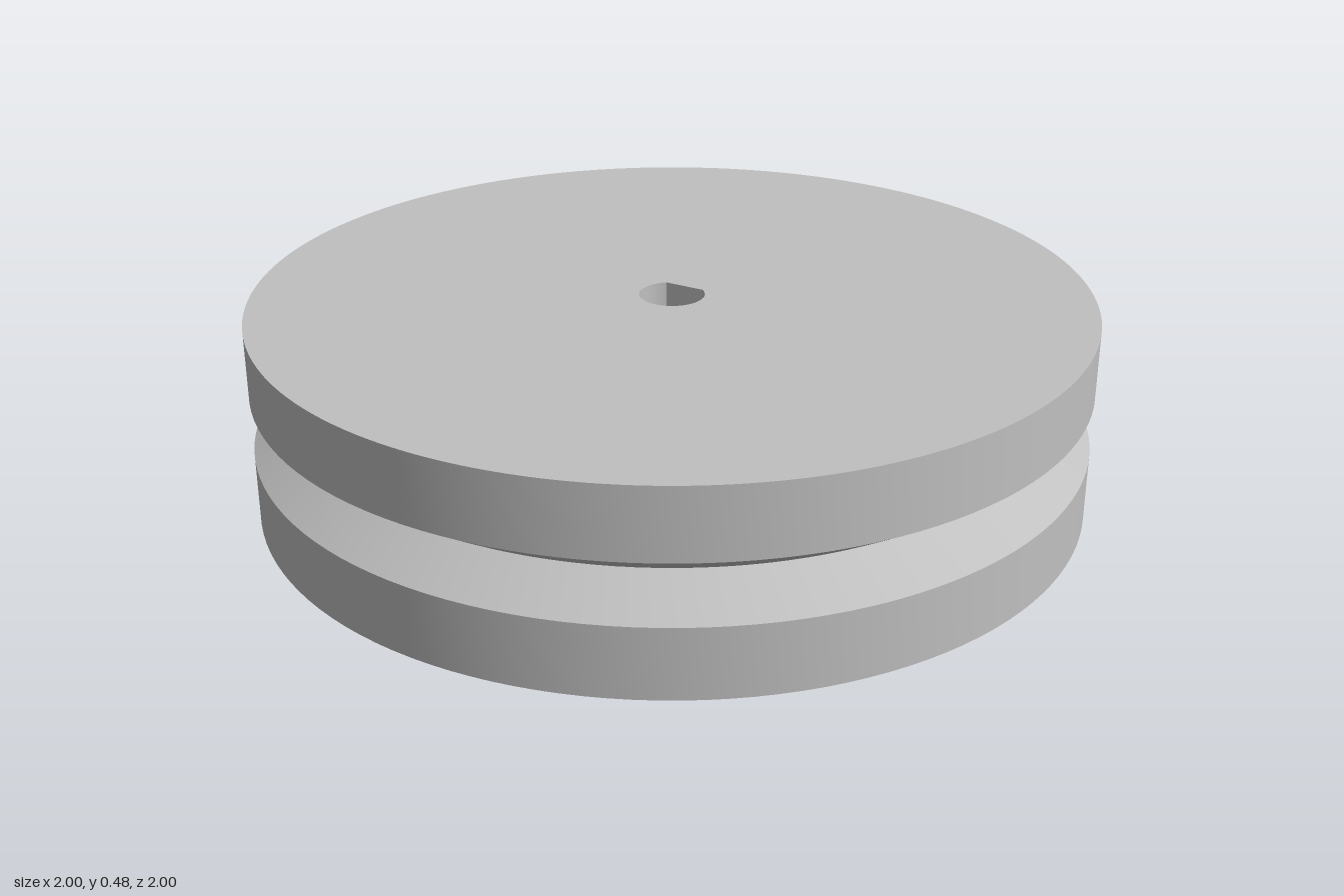
import * as THREE from 'three';
import { toCreasedNormals } from 'three/addons/utils/BufferGeometryUtils.js';

const RADIUS = 1, HEIGHT = 0.48, SEGMENTS = 128;
const BORE = 0.078, FLAT = 0.06; // bore radius and distance of its flat from the axis

// D-shaped bore outline; side = 1 puts the flat at +y, -1 at -y
function boreOutline(side) {
  const a = Math.asin(FLAT / BORE);
  const points = [];
  for (let i = 0; i <= 36; i++) {
    const t = Math.PI - a + (i / 36) * (Math.PI + 2 * a);
    points.push(new THREE.Vector2(BORE * Math.cos(t), side * BORE * Math.sin(t)));
  }
  return points;
}

// Flat disc pierced by the bore
function faceGeometry(side) {
  const disc = new THREE.Shape();
  disc.absarc(0, 0, RADIUS, 0, Math.PI * 2, false);
  disc.holes.push(new THREE.Path(boreOutline(side)));
  return new THREE.ShapeGeometry(disc, SEGMENTS).rotateX(-side * Math.PI / 2);
}

// Wall of the bore, facing the axis
function boreGeometry() {
  const outline = boreOutline(1), v = [];
  outline.forEach((p, i) => {
    const q = outline[(i + 1) % outline.length];
    const a = [p.x, 0, -p.y], b = [q.x, 0, -q.y];
    const c = [q.x, HEIGHT, -q.y], d = [p.x, HEIGHT, -p.y];
    v.push(...a, ...c, ...b, ...a, ...d, ...c);
  });
  const geometry = new THREE.BufferGeometry();
  geometry.setAttribute('position', new THREE.Float32BufferAttribute(v, 3));
  return toCreasedNormals(geometry, 0.5);
}

export function createModel() {
  const group = new THREE.Group();
  group.name = 'pulleyWheel';
  const grey = new THREE.MeshStandardMaterial({ color: 0xc0c0c0 });
  grey.name = 'grey';

  const add = (name, geometry) => {
    const mesh = new THREE.Mesh(geometry, grey);
    mesh.name = name;
    group.add(mesh);
    return mesh;
  };

  // Rim with a V-shaped belt groove
  const profile = [[RADIUS, 0], [RADIUS, 0.168], [0.89, 0.24], [RADIUS, 0.312], [RADIUS, HEIGHT]]
    .map(([r, y]) => new THREE.Vector2(r, y));
  add('groovedRim', toCreasedNormals(new THREE.LatheGeometry(profile, SEGMENTS), 0.3));

  // Flat faces and shaft bore
  add('topFace', faceGeometry(1)).position.y = HEIGHT;
  add('bottomFace', faceGeometry(-1));
  add('shaftBore', boreGeometry());
  return group;
}
